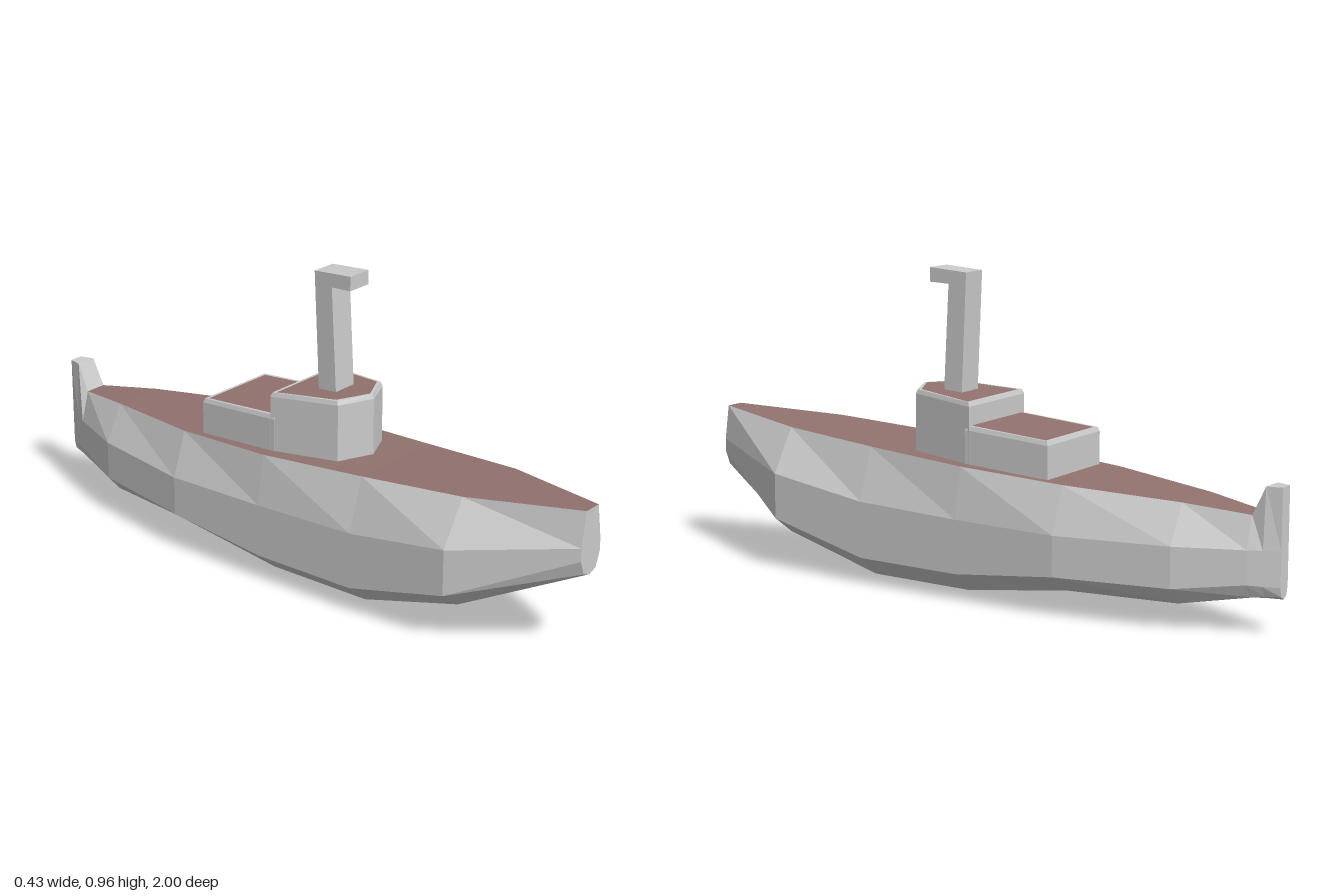
import * as THREE from 'three';

const GREY = 0xcccccc, DECK = 0x92736f;

// Flat-shaded mesh from a list of polygons (each an ordered ring of points)
function polyMesh(name, polys, color) {
  const pos = [];
  for (const p of polys)
    for (let k = 1; k < p.length - 1; k++) pos.push(...p[0], ...p[k], ...p[k + 1]);
  const g = new THREE.BufferGeometry();
  g.setAttribute('position', new THREE.Float32BufferAttribute(pos, 3));
  g.computeVertexNormals();
  const m = new THREE.Mesh(g, new THREE.MeshStandardMaterial({ color, flatShading: true }));
  m.name = name;
  return m;
}

// Quads joining consecutive rings of equal length
function loft(rings, closed) {
  const out = [], n = rings[0].length;
  for (let i = 0; i < rings.length - 1; i++)
    for (let j = 0; j < (closed ? n : n - 1); j++) {
      const k = (j + 1) % n;
      out.push([rings[i][j], rings[i][k], rings[i + 1][k], rings[i + 1][j]]);
    }
  return out;
}

// Hull stations: z, then half-section [x, y] from deck edge down to keel
const STATIONS = [
  [1, [0.03, 0.462], [0.048, 0.355], [0.048, 0.315], [0.03, 0.27], [0, 0.26]],
  [0.655, [0.13, 0.442], [0.214, 0.307], [0.214, 0.165], [0.138, 0.11], [0, 0.1]],
  [0.32, [0.16, 0.422], [0.214, 0.26], [0.214, 0.085], [0.138, 0.02], [0, 0.002]],
  [-0.03, [0.187, 0.405], [0.214, 0.25], [0.214, 0.085], [0.138, 0.02], [0, 0.002]],
  [-0.37, [0.162, 0.386], [0.214, 0.247], [0.214, 0.125], [0.138, 0.07], [0, 0.06]],
  [-0.72, [0.085, 0.365], [0.148, 0.25], [0.148, 0.128], [0.1, 0.076], [0, 0.066]],
  [-0.915, [0.036, 0.345], [0.065, 0.25], [0.065, 0.15], [0.045, 0.112], [0, 0.102]],
  [-0.955, [0.034, 0.43], [0.045, 0.25], [0.045, 0.147], [0.03, 0.115], [0, 0.105]],
  [-1, [0.022, 0.43], [0.022, 0.25], [0.022, 0.145], [0.016, 0.118], [0, 0.108]],
];

// Tower block: walls, bevelled rim and a coloured roof, top following a slope
function towerBlock(name, outline, zMid, topAt) {
  const ring = (yAt, sx, dz) => outline.map(([x, z]) => [x * sx, yAt(z), z + Math.sign(zMid - z) * dz]);
  const base = ring(() => 0.37, 1, 0);
  const wall = ring(z => topAt(z) - 0.013, 1, 0);
  const rim = ring(topAt, 0.97, 0.005);
  const roof = ring(topAt, 0.91, 0.014);
  const g = new THREE.Group();
  g.name = name;
  g.add(polyMesh(name + 'Walls', loft([base, wall, rim, roof], true), GREY));
  g.add(polyMesh(name + 'Roof', [roof], DECK));
  return g;
}

export function createModel() {
  const model = new THREE.Group();
  model.name = 'submarine';

  // Hull with upright stern fin
  const rings = STATIONS.map(([z, ...half]) => [
    ...half.map(([x, y]) => [x, y, z]),
    ...half.slice(0, -1).reverse().map(([x, y]) => [-x, y, z]),
  ]);
  const topEdges = rings.map(r => [r[r.length - 1], r[0]]);
  model.add(polyMesh('hull', [
    ...loft(rings, false),
    [...rings[0]].reverse(),
    rings[rings.length - 1],
    ...loft(topEdges.slice(6), false),
  ], GREY));

  // Deck
  model.add(polyMesh('deck', loft(topEdges.slice(0, 7), false), DECK));

  // Conning tower: pointed front and lower rear cabin (outlines run anticlockwise from above)
  const front = [[0, 0.238], [0.106, 0.188], [0.147, -0.035], [-0.147, -0.035], [-0.106, 0.188]];
  model.add(towerBlock('tower', front, 0.1, z => 0.592 + 0.06 * z));
  const rear = [[0.147, -0.02], [0.143, -0.308], [-0.143, -0.308], [-0.147, -0.02]];
  model.add(towerBlock('rearCabin', rear, -0.17, z => 0.521 + 0.06 * z));

  // Periscope: leaning mast with a forward-facing head
  const profile = [[0.065, 0.58], [0.13, 0.58], [0.112, 0.92], [0.18, 0.922], [0.18, 0.966], [0.048, 0.958]];
  const shape = new THREE.Shape(profile.map(([z, y]) => new THREE.Vector2(-z, y)));
  const geo = new THREE.ExtrudeGeometry(shape, { depth: 0.084, bevelEnabled: false });
  geo.translate(0, 0, -0.042).rotateY(Math.PI / 2);
  const scope = new THREE.Mesh(geo, new THREE.MeshStandardMaterial({ color: GREY, flatShading: true }));
  scope.name = 'periscope';
  model.add(scope);

  return model;
}
